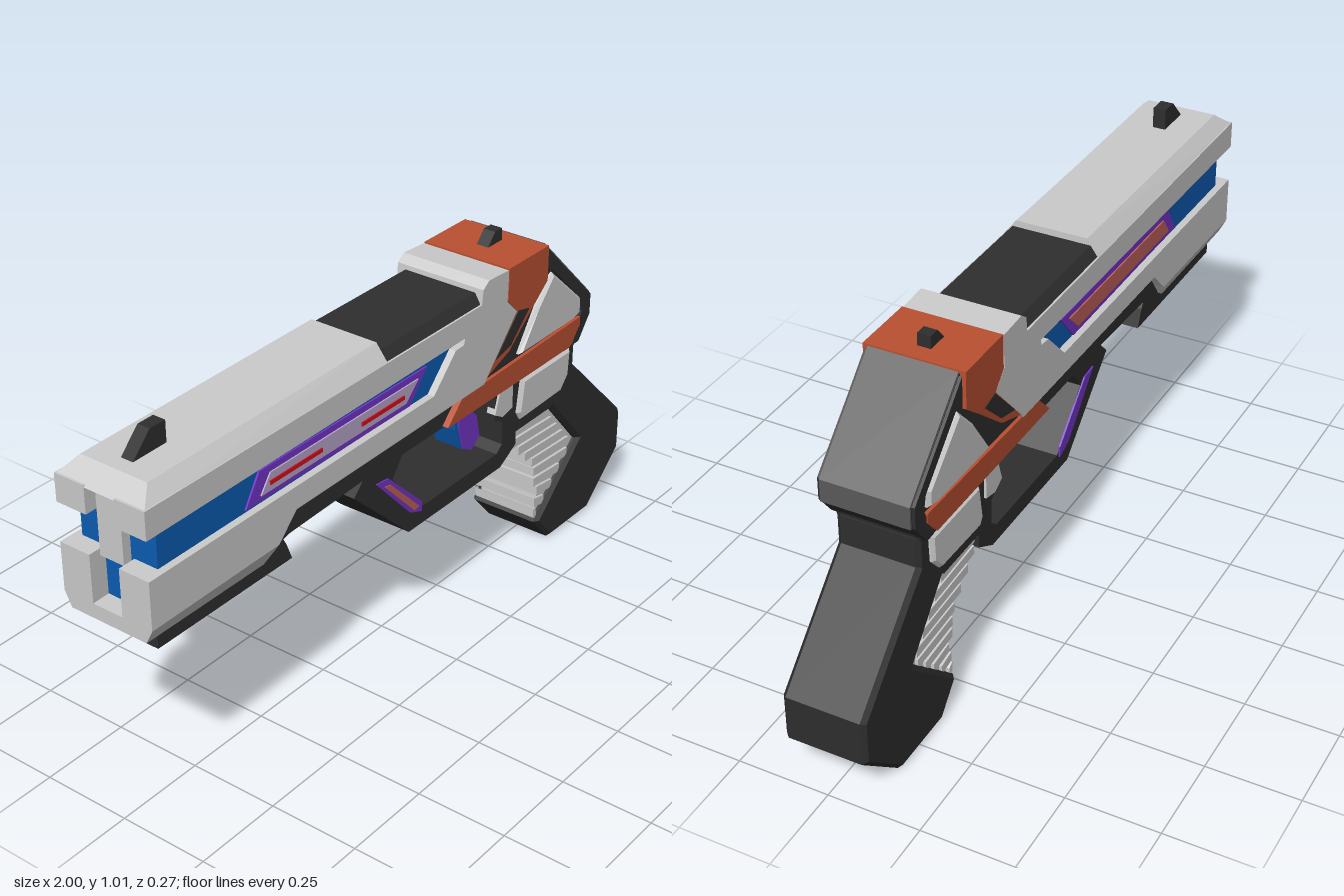
import * as THREE from 'three';

const mat = (name, color) => Object.assign(new THREE.MeshStandardMaterial({ color }), { name });

export function createModel() {
  const model = new THREE.Group();
  model.name = 'blaster';
  const white = mat('shellGrey', 0xcbcbcb);
  const dark = mat('black', 0x2e2e2e);
  const slate = mat('slate', 0x5a5a5a);
  const orange = mat('orange', 0xba5032);
  const blue = mat('blue', 0x0c5cb2);
  const purple = mat('purple', 0x7434c8);
  const lilac = mat('lilac', 0xb9a6cb);
  const salmon = mat('salmon', 0xc0625a);
  const red = mat('red', 0xd4101e);

  const toShape = pts => new THREE.Shape(pts.map(p => new THREE.Vector2(p[0], p[1])));

  const add = (name, geo, material) => {
    const mesh = new THREE.Mesh(geo, material);
    mesh.name = name;
    model.add(mesh);
    return mesh;
  };

  // Side profile extruded from z0 to z1, with an optional chamfer and hole
  function slab(name, pts, z0, z1, material, bevel = 0, hole = null) {
    const shape = toShape(pts);
    if (hole) shape.holes.push(new THREE.Path(hole.map(p => new THREE.Vector2(p[0], p[1]))));
    const geo = new THREE.ExtrudeGeometry(shape, {
      depth: z1 - z0 - 2 * bevel, bevelEnabled: bevel > 0, bevelSegments: 1,
      bevelSize: bevel, bevelThickness: bevel, bevelOffset: -bevel,
    });
    geo.translate(0, 0, z0 + bevel);
    return add(name, geo, material);
  }

  // Slab centred on z = 0
  const body = (name, pts, half, material, bevel, hole) =>
    slab(name, pts, -half, half, material, bevel, hole);

  // The same slab on both sides
  function pair(name, pts, z0, z1, material, bevel) {
    slab(name, pts, z0, z1, material, bevel);
    slab(name, pts, -z1, -z0, material, bevel);
  }

  // Centred slab whose half width follows the height
  function tapered(name, pts, halfAt, material) {
    const mesh = body(name, pts, 1, material);
    const p = mesh.geometry.attributes.position;
    for (let i = 0; i < p.count; i++) p.setZ(i, Math.sign(p.getZ(i)) * halfAt(p.getY(i)));
    mesh.geometry.computeVertexNormals();
  }

  function box(name, x0, x1, y0, y1, half, material) {
    const geo = new THREE.BoxGeometry(x1 - x0, y1 - y0, half * 2);
    geo.translate((x0 + x1) / 2, (y0 + y1) / 2, 0);
    add(name, geo, material);
  }

  // Barrel shell halves, with the long window open at the muzzle
  pair('barrelShell', [
    [-1, 0.6], [-0.565, 0.605], [-0.5, 0.67], [0.26, 0.675], [0.3, 0.72], [0.4, 0.83],
    [0.355, 0.875], [0.355, 0.91], [-1, 0.91], [-1, 0.835], [0.17, 0.845], [0.165, 0.828],
    [0.13, 0.826], [0.04, 0.735], [-1, 0.73],
  ], 0.045, 0.135, white);
  tapered('barrelTop', [[-1, 0.905], [-0.15, 0.91], [-0.15, 0.955], [-0.95, 0.947]],
    y => (y > 0.93 ? 0.1 : 0.135), white);
  tapered('barrelBottom', [[-1, 0.56], [-0.6, 0.56], [-0.565, 0.605], [-1, 0.6]],
    y => (y < 0.58 ? 0.115 : 0.135), white);
  tapered('topPlate', [[-0.15, 0.905], [0.25, 0.905], [0.25, 0.937], [-0.15, 0.937]],
    y => (y > 0.92 ? 0.11 : 0.133), dark);
  body('rearTopBlock', [[0.24, 0.905], [0.357, 0.905], [0.357, 0.963], [0.27, 0.968], [0.245, 0.95]],
    0.135, white);

  // Blue core and muzzle insert
  box('windowCore', -0.95, 0.2, 0.725, 0.85, 0.115, blue);
  box('muzzleCore', -0.95, 0.2, 0.6, 0.905, 0.046, blue);
  body('muzzleInsert', [[-0.975, 0.72], [-0.94, 0.69], [-0.94, 0.906], [-0.975, 0.906]], 0.036, white);

  // Glowing side panels
  pair('glowPanel', [[-0.66, 0.74], [-0.61, 0.82], [0.03, 0.82], [-0.04, 0.738]], 0.114, 0.12, purple);
  const inner = [[-0.61, 0.755], [-0.575, 0.803], [-0.01, 0.803], [-0.06, 0.755]];
  slab('glowInsert', inner, 0.119, 0.124, lilac);
  slab('glowInsert', inner, -0.124, -0.119, salmon);
  for (const [x0, x1] of [[-0.58, -0.39], [-0.24, -0.07]]) {
    slab('glowBar', [[x0, 0.772], [x1, 0.772], [x1, 0.783], [x0, 0.783]], 0.123, 0.127, red);
  }

  // Under-barrel block
  body('underBlock', [[-0.95, 0.51], [-0.48, 0.51], [-0.5, 0.56], [-0.53, 0.61], [-0.95, 0.565]], 0.1, dark);

  // Lower frame with trigger guard
  body('frame', [
    [-0.58, 0.575], [-0.5, 0.595], [-0.22, 0.605], [-0.255, 0.57], [-0.03, 0.36], [0.38, 0.36],
    [0.45, 0.4], [0.45, 0.44], [0.62, 0.44], [0.72, 0.5], [0.72, 0.6], [0.74, 0.68], [-0.5, 0.68],
  ], 0.112, dark, 0, [
    [-0.1, 0.55], [-0.06, 0.605], [0.345, 0.605], [0.345, 0.52], [0.385, 0.5], [0.385, 0.43],
    [0.36, 0.41], [0.03, 0.41],
  ]);
  pair('guardSlot', [[-0.17, 0.57], [-0.12, 0.565], [0.02, 0.43], [0.02, 0.4], [-0.03, 0.42]],
    0.111, 0.116, purple);
  slab('guardGlow', [[-0.14, 0.55], [-0.115, 0.545], [0.005, 0.425], [-0.015, 0.42]], 0.115, 0.119, salmon);

  // Trigger
  body('trigger', [[0.27, 0.61], [0.335, 0.61], [0.375, 0.44], [0.34, 0.41], [0.3, 0.43], [0.28, 0.5]],
    0.045, purple);
  body('triggerFace', [[0.255, 0.61], [0.272, 0.61], [0.282, 0.5], [0.302, 0.43], [0.29, 0.435], [0.268, 0.5]],
    0.04, blue);

  // Rear housing and its sloped back plate
  body('rearHousing', [
    [0.2, 0.66], [0.2, 0.91], [0.36, 0.958], [0.545, 0.958], [0.772, 0.735], [0.772, 0.675],
    [0.71, 0.6], [0.66, 0.6],
  ], 0.12, dark);
  body('backPlate', [[0.545, 0.956], [0.545, 0.965], [0.777, 0.737], [0.777, 0.675], [0.77, 0.675], [0.77, 0.734]],
    0.119, slate);
  pair('rearRim', [
    [0.545, 0.955], [0.62, 0.88], [0.77, 0.735], [0.77, 0.675], [0.72, 0.61], [0.69, 0.61],
    [0.73, 0.7], [0.72, 0.74], [0.57, 0.885], [0.545, 0.87],
  ], 0.1, 0.128, dark);
  pair('rearPanel', [[0.425, 0.69], [0.5, 0.8], [0.57, 0.875], [0.715, 0.745], [0.715, 0.7], [0.68, 0.69]],
    0.1, 0.135, white, 0.008);

  // Orange saddle over the top, with hooks down each side
  body('saddle', [[0.36, 0.88], [0.54, 0.88], [0.54, 0.966], [0.36, 0.966]], 0.135, orange);
  pair('saddleHook', [
    [0.36, 0.885], [0.357, 0.875], [0.4, 0.83], [0.3, 0.72], [0.272, 0.69], [0.37, 0.725],
    [0.465, 0.805], [0.54, 0.865], [0.54, 0.885],
  ], 0.1, 0.135, orange);
  pair('hookInset', [[0.305, 0.725], [0.405, 0.83], [0.455, 0.818], [0.375, 0.742]], 0.132, 0.137, dark);
  pair('sideStripe', [[0.11, 0.61], [0.17, 0.67], [0.72, 0.685], [0.72, 0.66], [0.675, 0.61]],
    0.1, 0.13, orange);

  // Panels above the grip
  pair('gripPanel', [[0.46, 0.598], [0.69, 0.598], [0.685, 0.52], [0.65, 0.48], [0.46, 0.475], [0.445, 0.5]],
    0.1, 0.125, white, 0.008);
  pair('triggerPanel', [[0.36, 0.603], [0.42, 0.603], [0.42, 0.53], [0.375, 0.52], [0.34, 0.54]],
    0.09, 0.118, white);

  // Grip
  body('grip', [
    [0.45, 0.45], [0.62, 0.44], [0.77, 0.27], [0.57, 0.085], [0.645, 0], [0.845, 0], [1, 0.14],
    [1, 0.265], [0.73, 0.53], [0.73, 0.61], [0.62, 0.61], [0.62, 0.5],
  ], 0.112, dark, 0.012);
  body('gripCore', [
    [0.47, 0.45], [0.64, 0.45], [0.785, 0.27], [0.59, 0.09], [0.6, 0.22], [0.58, 0.3], [0.48, 0.39],
  ], 0.092, white);

  // Grip ribs stepping down the front
  const front = [0.447, 0.452, 0.485, 0.52, 0.555, 0.565, 0.567, 0.585, 0.575, 0.572];
  front.forEach((x, i) => {
    const y = 0.425 - i * 0.035;
    const back = y > 0.27 ? 0.61 + (0.43 - y) * 0.88 : 0.755 - (0.27 - y) * 1.05;
    body('gripRib', [[x, y - 0.012], [back, y - 0.022], [back, y + 0.004], [x, y + 0.014]], 0.1, white);
  });

  // Sights
  body('frontSight', [[-0.91, 0.945], [-0.8, 0.945], [-0.8, 1.006], [-0.85, 1.006]], 0.018, dark);
  body('rearSight', [[0.425, 0.96], [0.492, 0.96], [0.492, 1.0], [0.46, 1.0]], 0.018, dark);

  return model;
}
